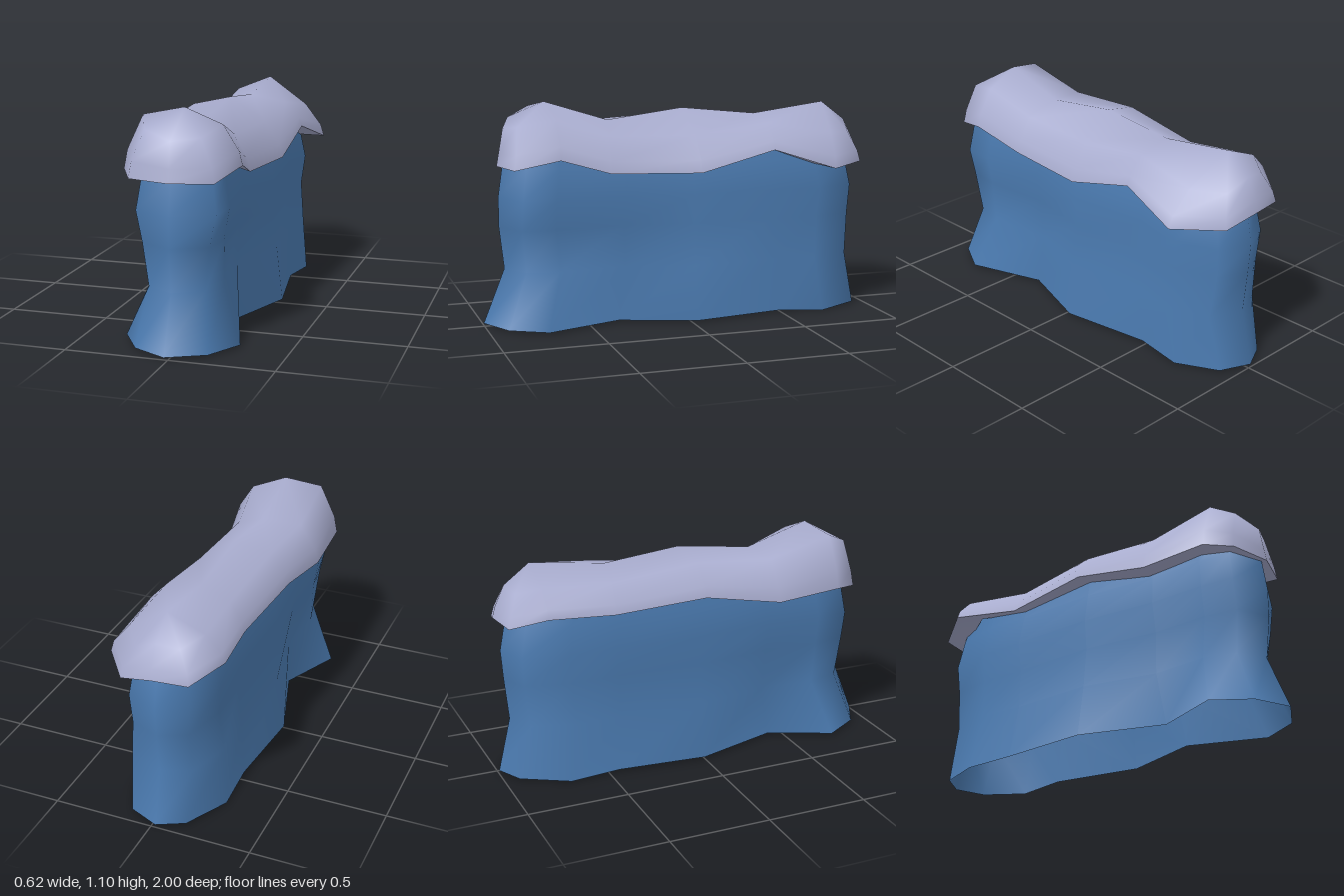
import * as THREE from 'three';
import { mergeVertices } from 'three/addons/utils/BufferGeometryUtils.js';

const blue = new THREE.MeshStandardMaterial({ color: 0x4b7bb1, side: THREE.DoubleSide });
blue.name = 'blue wall';
const lilac = new THREE.MeshStandardMaterial({ color: 0xa9adcf, side: THREE.DoubleSide });
lilac.name = 'pale lilac cap';

const mix = THREE.MathUtils.lerp;
const CENTRE = -0.02;

// Skin closed rings of equal point counts, running front tip > left side > back tip > right side
function loft(rings) {
  const n = rings[0].length;
  const index = [];
  for (let j = 0; j < rings.length - 1; j++) {
    for (let i = 0; i < n; i++) {
      const k = (i + 1) % n;
      const a = j * n + i, b = j * n + k, c = a + n, d = b + n;
      index.push(a, b, d, a, d, c);
    }
  }
  const geometry = new THREE.BufferGeometry();
  geometry.setAttribute('position', new THREE.Float32BufferAttribute(rings.flat(2), 3));
  geometry.setIndex(index);
  const welded = mergeVertices(geometry);
  welded.computeVertexNormals();
  return welded;
}

function part(name, geometry, material) {
  const mesh = new THREE.Mesh(geometry, material);
  mesh.name = name;
  return mesh;
}

// Wall stations: z, then x at the foot, waist and top
const wallStations = [
  [1.0, CENTRE, CENTRE, CENTRE],
  [0.91, 0.16, 0.12, 0.155], [0.73, 0.26, 0.16, 0.165], [0.35, 0.13, 0.12, 0.14],
  [-0.03, 0.26, 0.23, 0.185], [-0.48, 0.19, 0.18, 0.165], [-0.72, 0.22, 0.21, 0.185],
  [-0.93, 0.13, 0.15, 0.12],
  [-0.995, CENTRE, CENTRE, CENTRE],
  [-0.93, -0.15, -0.165, -0.15], [-0.7, -0.26, -0.23, -0.2], [-0.45, -0.25, -0.22, -0.2],
  [0, -0.29, -0.245, -0.215], [0.42, -0.16, -0.17, -0.19], [0.73, -0.3, -0.195, -0.2],
  [0.91, -0.19, -0.155, -0.185],
];
// Wall levels: height, position from foot (0) past waist (1) to top (2), widening, front and back length
const wallLevels = [
  [0.01, 0, 1, 1, 1], [0.28, 1, 1, 0.892, 0.935], [0.49, 1.7, 1, 0.915, 0.955],
  [0.64, 2, 1.13, 0.915, 0.965], [0.79, 2, 1, 0.892, 0.935], [0.9, 2, 0.88, 0.87, 0.9],
];

// Cap stations: rim x, rim y, rim z, crown y, ridge y, ridge z
const capStations = [
  [CENTRE, 0.79, 0.92, 0.975, 1.1, 0.68],
  [0.18, 0.79, 0.87, 0.99, 1.1, 0.68], [0.25, 0.84, 0.66, 1.025, 1.1, 0.68],
  [0.21, 0.76, 0.4, 0.935, 1.0, 0.36], [0.25, 0.75, -0.05, 0.93, 1.05, -0.03],
  [0.255, 0.85, -0.43, 0.975, 1.01, -0.42], [0.305, 0.75, -0.74, 0.92, 1.06, -0.8],
  [0.15, 0.76, -0.95, 0.91, 1.06, -0.8],
  [CENTRE, 0.81, -0.99, 0.965, 1.06, -0.8],
  [-0.19, 0.8, -0.96, 0.95, 1.06, -0.8], [-0.3, 0.86, -0.8, 0.985, 1.06, -0.8],
  [-0.25, 0.82, -0.45, 0.955, 1.01, -0.42], [-0.3, 0.86, 0, 1.01, 1.05, -0.03],
  [-0.31, 0.785, 0.4, 0.985, 1.0, 0.36], [-0.3, 0.81, 0.73, 1.065, 1.1, 0.68],
  [-0.23, 0.79, 0.86, 1.015, 1.1, 0.68],
];

// Ring drawn in from the cap's rim towards its ridge, at a height chosen per station
const capRing = (fx, fzFront, fzBack, height) =>
  capStations.map(([x, y, z, crownY, ridgeY, ridgeZ]) => [
    mix(x, CENTRE, fx),
    height(y, crownY, ridgeY),
    mix(z, ridgeZ, z > 0 ? fzFront : fzBack),
  ]);

export function createModel() {
  const group = new THREE.Group();
  group.name = 'cappedWall';

  // Long wall, pinched at the waist, flared at the foot and open underneath
  const wallRings = wallLevels.map(([y, u, wide, front, back]) =>
    wallStations.map(([z, foot, waist, top]) => {
      const x = u < 1 ? mix(foot, waist, u) : mix(waist, top, u - 1);
      const sag = u === 0 && z < -0.6 && z > -0.8 ? 0.01 : 0;
      return [CENTRE + (x - CENTRE) * wide, y - sag, z * (z > 0 ? front : back)];
    }));
  group.add(part('wall', loft(wallRings), blue));

  // Rounded cap with a wavy rim and an undulating ridge
  const rim = capRing(0, 0, 0, (y) => y);
  group.add(part('cap', loft([
    rim,
    capRing(0.06, 0.05, 0.08, (y, crownY) => mix(y, crownY, 0.35)),
    capRing(0.34, 0.14, 0.33, (y, crownY) => crownY),
    capRing(1, 1, 1, (y, crownY, ridgeY) => ridgeY),
  ]), lilac));

  // Underside of the overhang, running in to the wall
  const inner = rim.map(([x, y, z]) => [CENTRE + (x - CENTRE) * 0.6, y + 0.015, z * 0.9]);
  group.add(part('capUnderside', loft([inner, rim]), lilac));

  return group;
}
